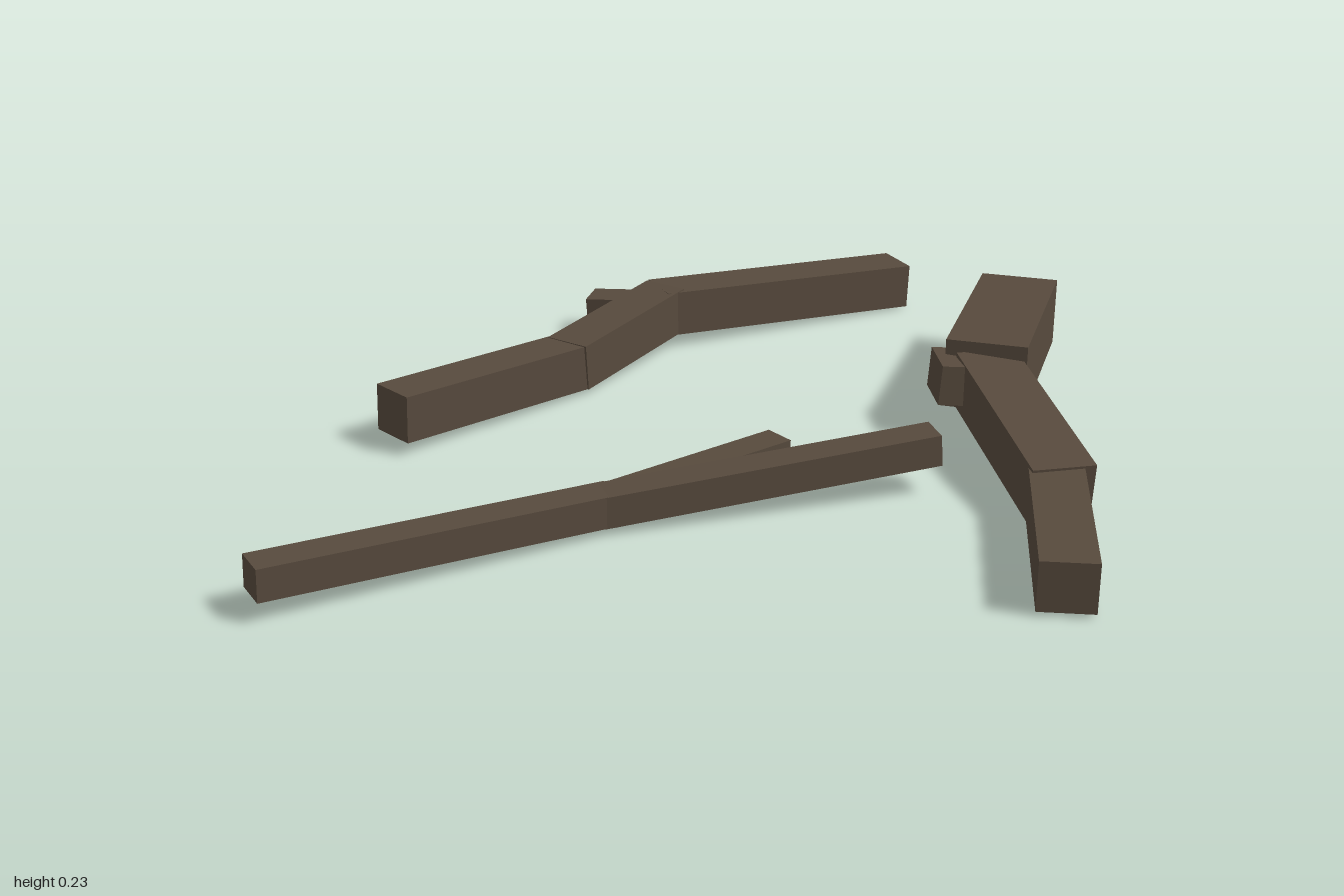
import * as THREE from 'three';

const bark = new THREE.MeshStandardMaterial({ color: 0x574a3d });
bark.name = 'bark';

// Straight square-cut piece of wood between two centre points
function beam(name, from, to, width, height) {
  const a = new THREE.Vector3(...from);
  const b = new THREE.Vector3(...to);
  const mesh = new THREE.Mesh(new THREE.BoxGeometry(width, height, a.distanceTo(b)), bark);
  mesh.name = name;
  mesh.position.copy(a).add(b).multiplyScalar(0.5);
  mesh.lookAt(b);
  return mesh;
}

function branch(name, parts) {
  const group = new THREE.Group();
  group.name = name;
  for (const p of parts) group.add(beam(...p));
  return group;
}

export function createModel() {
  const model = new THREE.Group();
  model.name = 'fallenBranches';

  // Thin forked stick at the front
  model.add(branch('forkedStick', [
    ['stickStem', [-0.982, 0.093, 0.798], [-0.235, 0.06, 0.455], 0.083, 0.075],
    ['stickLongFork', [-0.265, 0.06, 0.468], [0.51, 0.117, 0.333], 0.083, 0.075],
    ['stickShortFork', [-0.25, 0.058, 0.465], [0.172, 0.052, 0.188], 0.078, 0.075],
  ]));

  // Bent branch with a side twig at the back
  model.add(branch('bentBranch', [
    ['bentLower', [-0.732, 0.097, -0.012], [-0.28, 0.075, -0.367], 0.12, 0.117],
    ['bentMiddle', [-0.3, 0.077, -0.345], [-0.02, 0.106, -0.675], 0.122, 0.12],
    ['bentUpper', [-0.045, 0.104, -0.661], [0.662, 0.07, -0.92], 0.128, 0.12],
    ['bentTwig', [-0.22, 0.078, -0.757], [-0.03, 0.09, -0.69], 0.09, 0.075],
  ]));

  // Thick branch at the side, with a stub
  model.add(branch('thickBranch', [
    ['thickTip', [0.65, 0.073, 0.963], [0.747, 0.077, 0.49], 0.124, 0.115],
    ['thickMiddle', [0.753, 0.073, 0.533], [0.7, 0.14, -0.01], 0.148, 0.135],
    ['thickButt', [0.695, 0.149, 0.025], [0.907, 0.131, -0.495], 0.198, 0.172],
    ['thickStub', [0.576, 0.149, 0.006], [0.7, 0.14, 0.006], 0.13, 0.1],
  ]));

  return model;
}
